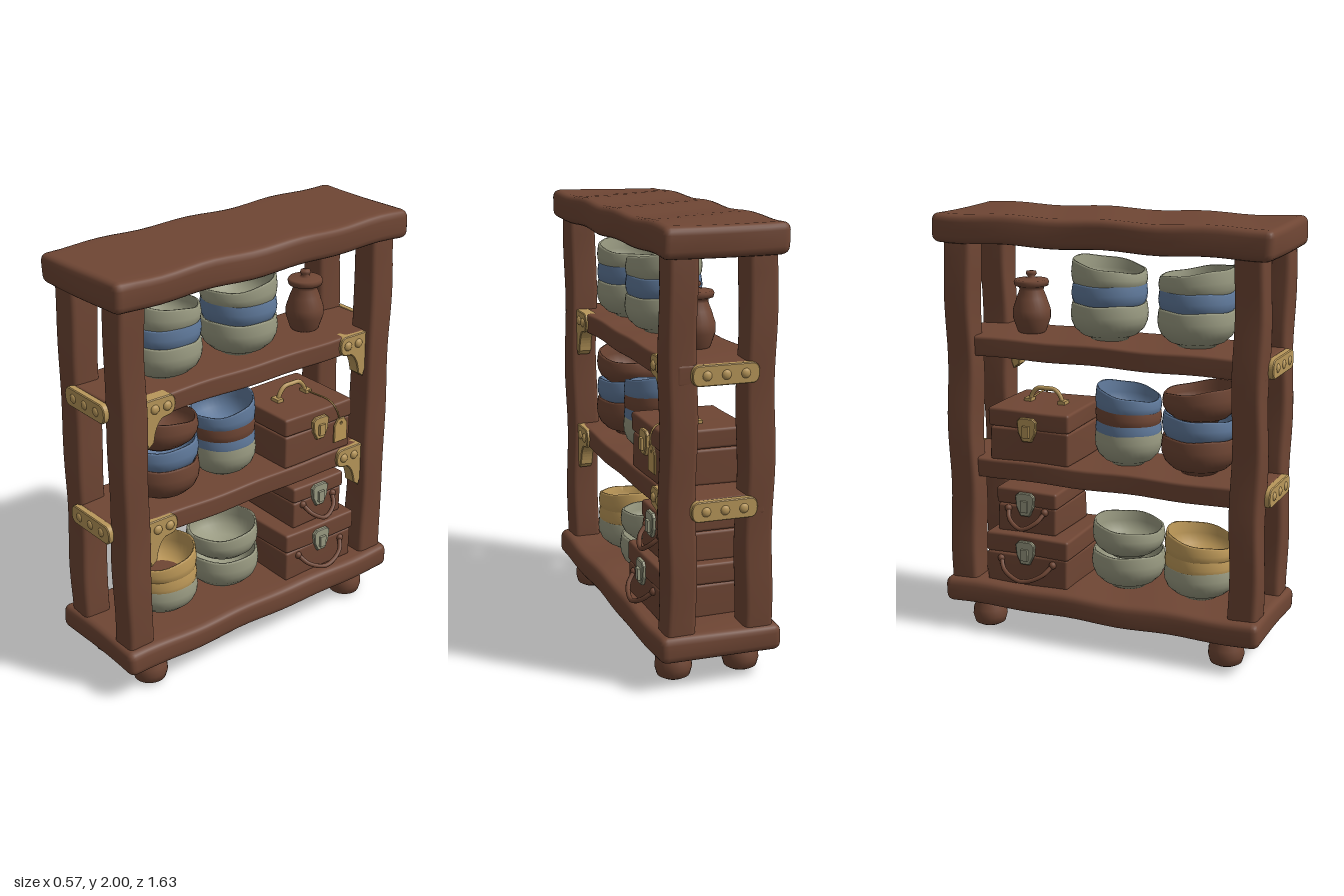
import * as THREE from 'three';
import { mergeVertices } from 'three/addons/utils/BufferGeometryUtils.js';

const mat = (name, color) => {
  const m = new THREE.MeshStandardMaterial({ color });
  m.name = name;
  return m;
};

export function createModel() {
  const wood = mat('brown wood', 0x6f4634);
  const brass = mat('brass', 0xb8975a);
  const sage = mat('sage glaze', 0x9a9b82);
  const blue = mat('blue glaze', 0x607a9c);
  const ochre = mat('ochre glaze', 0xbf9a59);

  const root = new THREE.Group();
  root.name = 'shelf';

  const add = (parent, name, geo, material, x = 0, y = 0, z = 0) => {
    const m = new THREE.Mesh(geo, material);
    m.name = name;
    m.position.set(x, y, z);
    parent.add(m);
    return m;
  };

  // Hand-hewn block: rounded edges and a slight wobble along its length
  const plankGeo = (w, h, d, r = 0.03, wob = 0.004, seed = 0) => {
    const size = [w, h, d];
    const segs = size.map((s) => Math.max(5, Math.round(s / 0.07) + 4));
    const geo = new THREE.BoxGeometry(w, h, d, ...segs);
    const pos = geo.attributes.position;
    for (let i = 0; i < pos.count; i++) {
      const p = [pos.getX(i), pos.getY(i), pos.getZ(i)].map((c, a) => {
        const n = segs[a], k = Math.round((c / size[a] + 0.5) * n), half = size[a] / 2;
        if (k <= 2) return -half + (r * k) / 2;
        if (k >= n - 2) return half - (r * (n - k)) / 2;
        return -half + r + ((k - 2) / (n - 4)) * (size[a] - 2 * r);
      });
      const inner = p.map((c, a) => THREE.MathUtils.clamp(c, r - size[a] / 2, size[a] / 2 - r));
      const dir = new THREE.Vector3(...p.map((c, a) => c - inner[a]));
      if (dir.length() > 0) dir.setLength(r);
      const v = new THREE.Vector3(...inner).add(dir);
      const t = seed * 2.3;
      pos.setXYZ(i,
        v.x + wob * Math.sin(v.y * 9 + v.z * 7 + t),
        v.y + wob * Math.sin(v.z * 13 + v.x * 5 + t),
        v.z + wob * Math.sin(v.y * 11 + v.x * 8 + t));
    }
    geo.deleteAttribute('uv');
    geo.deleteAttribute('normal');
    const out = mergeVertices(geo, 1e-5);
    out.computeVertexNormals();
    return out;
  };

  // Frame
  add(root, 'topSlab', plankGeo(0.56, 0.135, 1.62, 0.035, 0.005, 1), wood, 0, 1.928, 0);
  add(root, 'bottomSlab', plankGeo(0.56, 0.12, 1.58, 0.035, 0.004, 2), wood, 0, 0.19, 0);
  [0.8, 1.38].forEach((y, i) =>
    add(root, 'shelfBoard', plankGeo(0.41, 0.095, 1.53, 0.015, 0.003, i + 3), wood, 0, y, 0));

  const footProfile = [[0, 0], [0.05, 0.002], [0.073, 0.015], [0.083, 0.05], [0.08, 0.085], [0.066, 0.115], [0.058, 0.15]]
    .map(([x, y]) => new THREE.Vector2(x, y));
  const footGeo = new THREE.LatheGeometry(footProfile, 24);
  for (const sx of [-1, 1]) for (const sz of [-1, 1]) {
    add(root, 'post', plankGeo(0.135, 1.66, 0.138, 0.025, 0.004, sx + sz * 2), wood, sx * 0.175, 1.055, sz * 0.7);
    add(root, 'foot', footGeo, wood, sx * 0.158, 0, sz * 0.607);
  }

  // Brass straps on the ends and corner brackets on the +x side
  const extrude = (shape, depth) => new THREE.ExtrudeGeometry(shape, {
    depth, bevelEnabled: true, bevelThickness: 0.004, bevelSize: 0.004, bevelSegments: 1, curveSegments: 8,
  });
  const strapShape = new THREE.Shape();
  strapShape.moveTo(-0.12, -0.04).lineTo(0.12, -0.04).quadraticCurveTo(0.145, -0.035, 0.145, 0)
    .quadraticCurveTo(0.145, 0.035, 0.12, 0.04).lineTo(-0.12, 0.04)
    .quadraticCurveTo(-0.145, 0.035, -0.145, 0).quadraticCurveTo(-0.145, -0.035, -0.12, -0.04);
  const strapGeo = extrude(strapShape, 0.025).translate(0, 0, -0.012);
  const rivetGeo = new THREE.SphereGeometry(0.022, 12, 8);

  const bracketShape = (s) => {
    const sh = new THREE.Shape();
    sh.moveTo(0, 0.085).lineTo(s * 0.125, 0.085).quadraticCurveTo(s * 0.15, 0.08, s * 0.15, 0.043)
      .quadraticCurveTo(s * 0.15, 0.004, s * 0.12, 0).lineTo(s * 0.085, -0.005)
      .quadraticCurveTo(s * 0.045, -0.03, s * 0.035, -0.11).lineTo(s * 0.01, -0.13).lineTo(0, -0.1);
    return sh;
  };

  for (const y of [0.8, 1.38]) for (const s of [-1, 1]) {
    add(root, 'strap', strapGeo, brass, -0.005, y, s * 0.775);
    for (const x of [-0.09, -0.005, 0.08])
      add(root, 'strapRivet', rivetGeo, brass, x, y, s * 0.788).scale.z = 0.6;
    const bracket = add(root, 'cornerBracket', extrude(bracketShape(s), 0.055), brass, 0.158, y - 0.042, s * 0.628);
    bracket.rotation.y = Math.PI / 2;
    for (const u of [0.045, 0.11])
      add(root, 'bracketRivet', rivetGeo, brass, 0.217, y, s * (0.628 - u)).scale.x = 0.6;
  }

  // Bowls: a lathe with its rim sheared so that it leans along z
  const bowlGeo = (r, h, slope) => {
    const outer = [[0, 0], [0.48, 0], [0.5, 0.07], [0.72, 0.16], [0.9, 0.33], [0.98, 0.52], [1, 0.7], [0.97, 0.95], [0.955, 1]];
    const inner = [[0.9, 0.99], [0.91, 0.7], [0.84, 0.42], [0.6, 0.2], [0, 0.13]];
    const geo = new THREE.LatheGeometry([...outer, ...inner].map(([x, y]) => new THREE.Vector2(x * r, y * h)), 36);
    const p = geo.attributes.position;
    for (let i = 0; i < p.count; i++) {
      const y = p.getY(i), a = Math.atan2(p.getX(i), p.getZ(i));
      p.setY(i, y + (y / h) ** 2 * (slope * p.getZ(i) + 0.003 * Math.sin(a * 5)));
    }
    geo.computeVertexNormals();
    return geo;
  };

  // Each stack: z, radius, base height, then [glaze, rim height, lean] from the bottom up
  const stacks = [
    [0.385, 0.178, 1.425, [[sage, 1.6, 0], [blue, 1.685, -0.03], [sage, 1.765, 0.15]]],
    [-0.04, 0.178, 1.425, [[sage, 1.6, 0], [blue, 1.69, 0.03], [sage, 1.77, -0.17]]],
    [0.407, 0.177, 0.845, [[wood, 1.025, 0], [blue, 1.12, -0.06], [wood, 1.24, 0.15]]],
    [0.055, 0.157, 0.845, [[sage, 1.02, 0], [blue, 1.065, -0.04], [wood, 1.13, -0.14], [blue, 1.19, -0.2]]],
    [0.42, 0.172, 0.25, [[sage, 0.41, 0], [ochre, 0.47, -0.08], [ochre, 0.54, -0.17]]],
    [0.058, 0.175, 0.25, [[sage, 0.43, 0], [sage, 0.555, -0.1]]],
  ];
  for (const [z, r, base, bowls] of stacks) {
    const stack = new THREE.Group();
    stack.name = 'bowlStack';
    root.add(stack);
    bowls.forEach(([glaze, rim, lean], i) => {
      const h = i ? 0.155 : rim - base;
      add(stack, 'bowl', bowlGeo(i ? r * 0.98 : r, h, lean), glaze, 0, rim - h, z);
    });
  }
  // Worn brown bottom inside the ochre bowl
  add(root, 'bowlContents', new THREE.CylinderGeometry(0.1, 0.1, 0.008, 24), wood, 0, 0.418, 0.42);

  // Lidded jar
  const jar = [[0, 0], [0.06, 0], [0.068, 0.01], [0.088, 0.07], [0.088, 0.11], [0.07, 0.165], [0.056, 0.2], [0.058, 0.215],
    [0.078, 0.222], [0.082, 0.24], [0.076, 0.25], [0.03, 0.254], [0.015, 0.262], [0.026, 0.275], [0.022, 0.287], [0, 0.29]];
  add(root, 'jar', new THREE.LatheGeometry(jar.map(([x, y]) => new THREE.Vector2(x, y)), 28), wood, 0, 1.425, -0.437);

  // Cases with lid, latches on both long sides and optional swing handles
  const latchShape = new THREE.Shape();
  latchShape.moveTo(-0.045, 0.035).lineTo(-0.03, 0.05).lineTo(0.03, 0.05).lineTo(0.045, 0.035)
    .lineTo(0.04, -0.015).lineTo(0.02, -0.055).lineTo(-0.02, -0.055).lineTo(-0.04, -0.015);
  const latchGeo = extrude(latchShape, 0.012);
  const tube = (pts, r) => new THREE.TubeGeometry(
    new THREE.CatmullRomCurve3(pts.map((p) => new THREE.Vector3(...p))), 28, r, 8);

  const makeCase = (name, y, h, z, w, d, seam, latchY, latchMat, swing) => {
    const g = new THREE.Group();
    g.name = name;
    g.position.set(0, y, z);
    root.add(g);
    add(g, 'caseBody', plankGeo(w - 0.012, seam, d - 0.012, 0.012, 0.002, y), wood, 0, seam / 2, 0);
    add(g, 'caseLid', plankGeo(w, h - seam, d, 0.014, 0.002, y + 1), wood, 0, (h + seam) / 2, 0);
    for (const s of [-1, 1]) {
      const latch = add(g, 'latch', latchGeo, latchMat, s * w / 2, latchY, 0);
      latch.rotation.y = s * Math.PI / 2;
      add(g, 'latchClasp', new THREE.BoxGeometry(0.02, 0.055, 0.034), latchMat, s * (w / 2 + 0.018), latchY - 0.01, 0);
      if (swing) {
        const [top, drop, half] = swing, x = w / 2 - 0.005;
        const pts = [[0, 0, -1], [0.04, 0.55, -0.72], [0.06, 1, 0], [0.04, 0.55, 0.72], [0, 0, 1]]
          .map(([o, k, q]) => [s * (x + o), top - k * drop, q * half]);
        add(g, 'swingHandle', tube(pts, 0.011), wood);
        for (const q of [-1, 1])
          add(g, 'handleKnob', new THREE.SphereGeometry(0.018, 10, 8), wood, s * x, top, q * half);
      }
    }
    return g;
  };
  makeCase('largeCase', 0.245, 0.247, -0.375, 0.44, 0.43, 0.15, 0.17, sage, [0.12, 0.08, 0.135]);
  makeCase('smallCase', 0.49, 0.215, -0.393, 0.36, 0.315, 0.135, 0.15, sage, [0.115, 0.075, 0.095]);
  const middle = makeCase('handledCase', 0.845, 0.25, -0.367, 0.4, 0.415, 0.16, 0.165, brass, null);

  // Brass carrying handle and hanging tag
  add(middle, 'carryHandle', tube([[0, 0.24, 0.085], [0, 0.28, 0.075], [0, 0.312, 0.045], [0, 0.315, 0],
    [0, 0.312, -0.045], [0, 0.28, -0.075], [0, 0.24, -0.085]], 0.011), brass);
  for (const s of [-1, 1])
    add(middle, 'handleMount', new THREE.BoxGeometry(0.05, 0.02, 0.035), brass, 0, 0.255, s * 0.088);
  const tagShape = new THREE.Shape();
  tagShape.moveTo(-0.038, -0.055).lineTo(0.038, -0.055).lineTo(0.038, 0.03).lineTo(0.018, 0.06)
    .lineTo(-0.018, 0.06).lineTo(-0.038, 0.03);
  const hole = new THREE.Path();
  hole.absarc(0, 0.038, 0.008, 0, Math.PI * 2);
  tagShape.holes.push(hole);
  const tag = add(middle, 'tag', extrude(tagShape, 0.003), ochre, 0.212, 0.115, -0.123);
  tag.rotation.set(0, Math.PI / 2, 0);
  add(middle, 'tagString', tube([[0.215, 0.15, -0.123], [0.212, 0.22, -0.1], [0.18, 0.258, -0.09], [0.02, 0.258, -0.088]], 0.004), ochre);

  return root;
}
